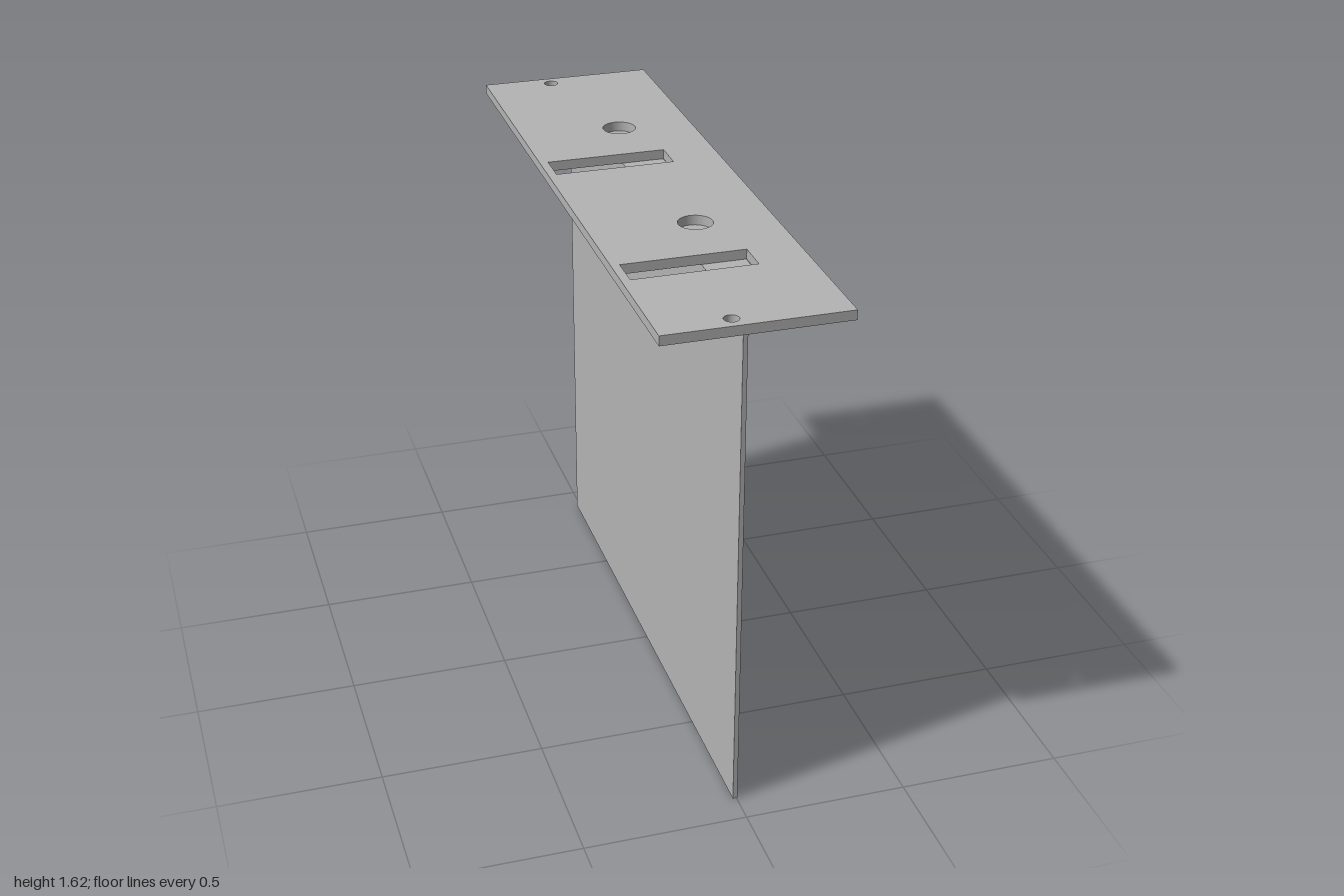
import * as THREE from 'three';

const HALF_WIDTH = 0.275, TOP = 1.625, PLATE = 0.03;
const SHEET = 0.014, SHEET_X = -0.011, FLANGE_X = 0.121, SHEET_LENGTH = 1.81;

// Closed outline from a list of [x, y] corners
const outline = (points) => new THREE.Shape(points.map(([x, y]) => new THREE.Vector2(x, y)));
const rect = (x0, x1, y0, y1) => outline([[x0, y0], [x1, y0], [x1, y1], [x0, y1]]);

function roundHole(x, z, r) {
  const hole = new THREE.Path();
  hole.absarc(x, -z, r, 0, Math.PI * 2, true);
  return hole;
}

export function createModel() {
  const group = new THREE.Group();
  const metal = new THREE.MeshStandardMaterial({ color: 0xb4b4b4 });
  metal.name = 'grey metal';

  // Top plate with end screw holes, large round holes and slots
  const plate = rect(-HALF_WIDTH, HALF_WIDTH, -1, 1);
  for (const z of [-0.954, 0.954]) plate.holes.push(roundHole(-0.062, z, 0.022));
  for (const z of [-0.484, 0.316]) plate.holes.push(roundHole(0.042, z, 0.052));
  for (const z of [-0.208, 0.592]) plate.holes.push(rect(-0.249, 0.122, -z - 0.052, -z + 0.052));
  const plateGeometry = new THREE.ExtrudeGeometry(plate, { depth: PLATE, bevelEnabled: false, curveSegments: 24 });
  plateGeometry.rotateX(-Math.PI / 2);
  const topPlate = new THREE.Mesh(plateGeometry, metal);
  topPlate.name = 'topPlate';
  topPlate.position.y = TOP - PLATE;
  group.add(topPlate);

  // Hanging sheet with its upper edge folded into a flange under the plate
  const top = TOP - PLATE, inner = SHEET_X + SHEET;
  const profile = outline([
    [SHEET_X, 0], [inner, 0], [inner, top - SHEET],
    [FLANGE_X, top - SHEET], [FLANGE_X, top], [SHEET_X, top],
  ]);
  const sheetGeometry = new THREE.ExtrudeGeometry(profile, { depth: SHEET_LENGTH, bevelEnabled: false });
  const sheet = new THREE.Mesh(sheetGeometry, metal);
  sheet.name = 'foldedSheet';
  sheet.position.z = -SHEET_LENGTH / 2;
  group.add(sheet);

  return group;
}
